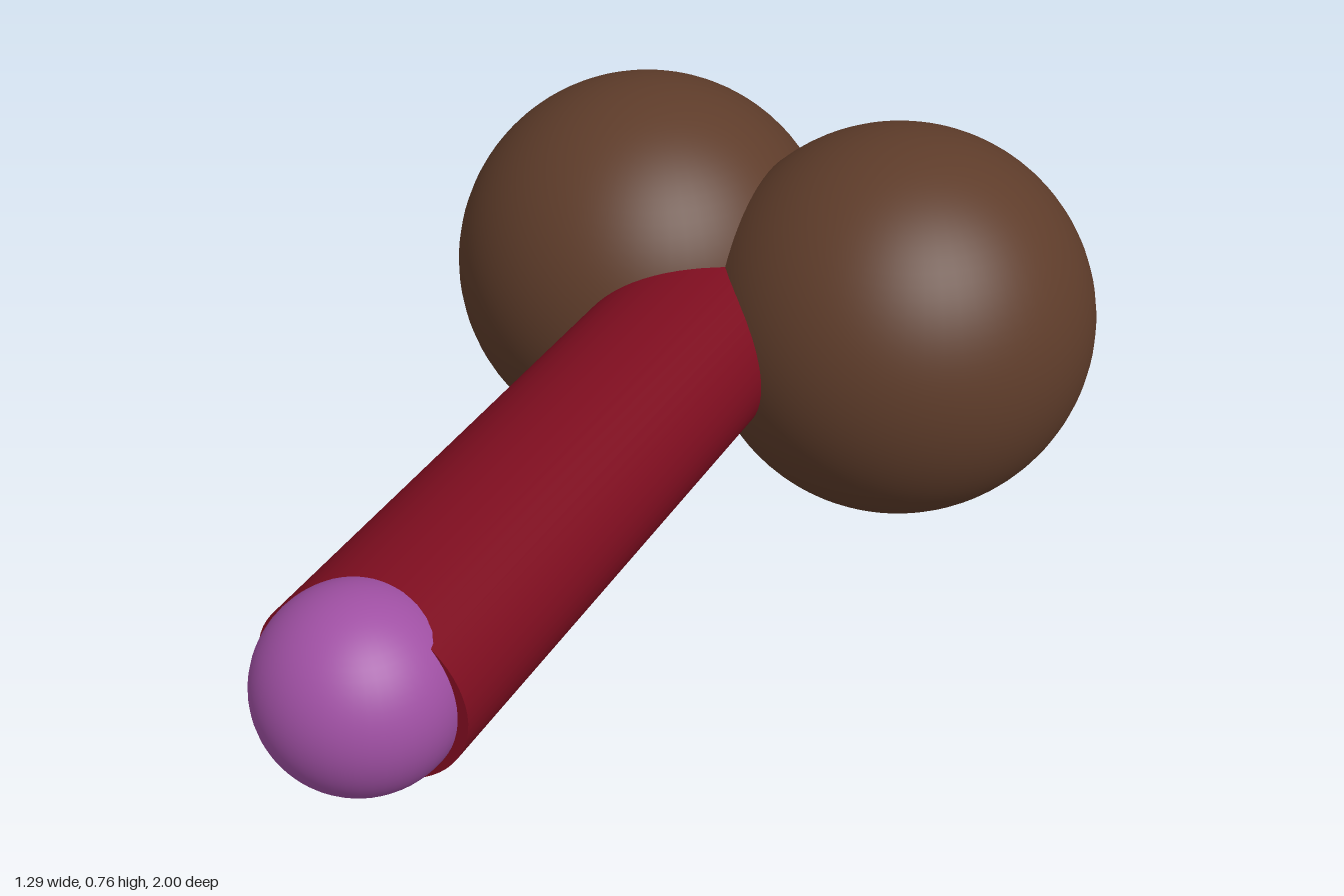
import * as THREE from 'three';

export function createModel() {
  const model = new THREE.Group();

  const addPart = (name, geometry, color, x, y, z) => {
    const mesh = new THREE.Mesh(geometry, new THREE.MeshStandardMaterial({ color }));
    mesh.name = name;
    mesh.position.set(x, y, z);
    model.add(mesh);
    return mesh;
  };

  // Pair of overlapping spheres at the back
  const ball = new THREE.SphereGeometry(0.378, 64, 48);
  for (const [name, side] of [['leftSphere', 1], ['rightSphere', -1]]) {
    addPart(name, ball, 0x5e3c2a, side * 0.269, 0.378, -0.622);
  }

  // Slightly flattened shaft running forward, its back end buried in the spheres
  const front = 0.825, back = -0.55;
  const shaft = new THREE.CylinderGeometry(1, 1, front - back, 64);
  shaft.rotateX(Math.PI / 2);
  shaft.scale(0.189, 0.164, 1);
  addPart('shaft', shaft, 0x7d0d1f, -0.05, 0.371, (front + back) / 2);

  // Rounded tip, set a little above the shaft's axis
  addPart('tip', new THREE.SphereGeometry(0.171, 48, 32), 0xa050a4, -0.05, 0.379, 0.829);

  return model;
}
